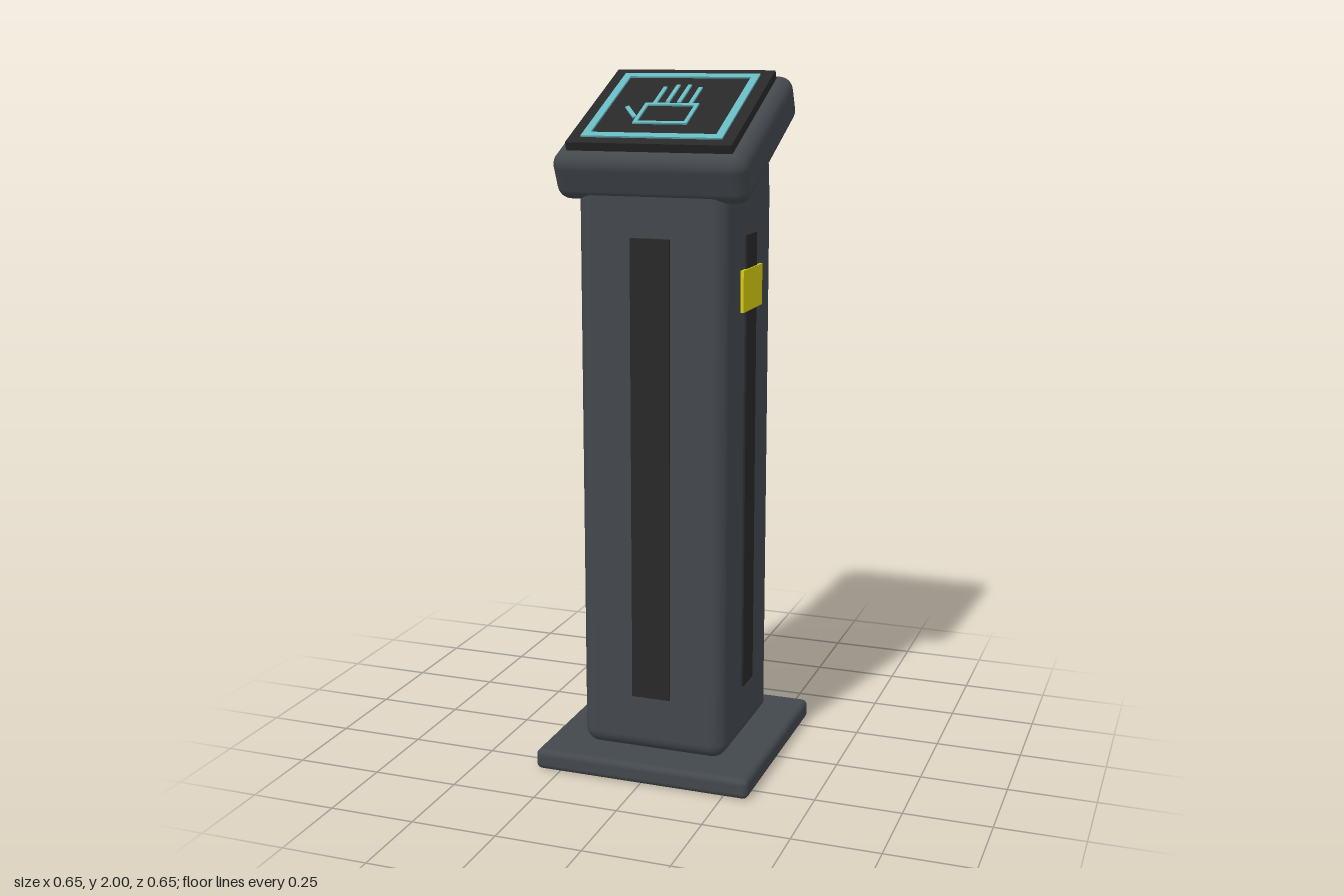
import * as THREE from 'three';
import { RoundedBoxGeometry } from 'three/addons/geometries/RoundedBoxGeometry.js';

const material = (name, color) => {
  const m = new THREE.MeshStandardMaterial({ color });
  m.name = name;
  return m;
};

export function createModel() {
  const body = material('slate grey', 0x43484d);
  const dark = material('near black', 0x282828);
  const glow = material('teal', 0x66b8be);
  const yellow = material('yellow', 0xd6cc10);

  const model = new THREE.Group();
  model.name = 'scannerPedestal';

  const add = (parent, name, geometry, mat, x, y, z) => {
    const mesh = new THREE.Mesh(geometry, mat);
    mesh.name = name;
    mesh.position.set(x, y, z);
    parent.add(mesh);
    return mesh;
  };
  const box = (w, h, d) => new THREE.BoxGeometry(w, h, d);

  // Base plate and column
  add(model, 'base', new RoundedBoxGeometry(0.648, 0.06, 0.648, 3, 0.018), body, 0, 0.03, 0);
  add(model, 'column', new RoundedBoxGeometry(0.436, 1.715, 0.436, 4, 0.045), body, 0, 0.9125, 0);

  // Inset strips on the front and left side, with a label on the side
  add(model, 'frontStrip', box(0.115, 1.33, 0.008), dark, 0, 0.89, 0.22);
  add(model, 'sideStrip', box(0.008, 1.33, 0.095), dark, 0.22, 0.89, 0);
  add(model, 'sideLabel', box(0.009, 0.118, 0.178), yellow, 0.2235, 1.402, 0);

  // Cable conduit behind the column
  add(model, 'conduit', new THREE.CylinderGeometry(0.025, 0.025, 1.61, 16), body, 0.176, 0.865, -0.239);

  // Tilted head
  const head = new THREE.Group();
  head.name = 'head';
  head.position.set(0, 1.818, -0.002);
  head.rotation.x = THREE.MathUtils.degToRad(25);
  model.add(head);
  add(head, 'headCase', new RoundedBoxGeometry(0.56, 0.142, 0.53, 4, 0.04), body, 0, 0, 0);
  add(head, 'screen', box(0.476, 0.04, 0.445), dark, 0, 0.076, 0);

  // Flat bars drawn on the screen
  const top = 0.098;
  const bar = (name, x, z, w, d) => add(head, name, box(w, 0.006, d), glow, x, top, z);
  const outline = (name, x, z, w, d, t) => {
    for (const s of [-1, 1]) {
      bar(name, x + s * (w - t) / 2, z, t, d);
      bar(name, x, z + s * (d - t) / 2, w - 2 * t, t);
    }
  };
  outline('screenFrame', 0, 0, 0.406, 0.382, 0.022);

  // Hand symbol: palm, four fingers and a slanted thumb
  outline('palm', -0.001, 0.052, 0.158, 0.118, 0.011);
  for (const [x, back, front] of [
    [-0.053, -0.106, -0.007], [-0.018, -0.12, -0.013],
    [0.016, -0.12, -0.013], [0.052, -0.106, -0.007],
  ]) bar('finger', x, (back + front) / 2, 0.011, front - back);
  bar('thumb', -0.106, 0.046, 0.012, 0.074).rotation.y = 0.62;

  return model;
}
